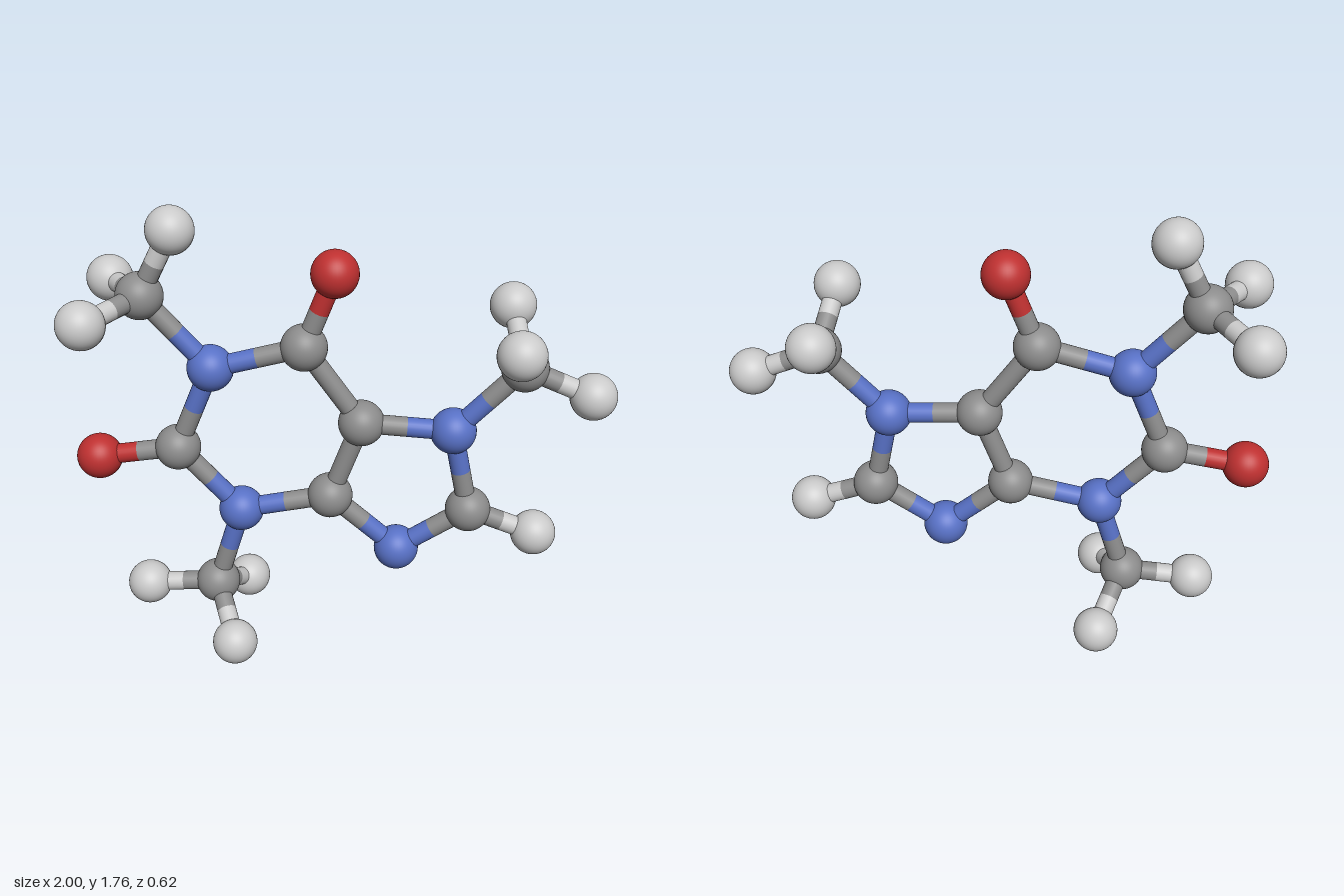
import * as THREE from 'three';

const ATOM_RADIUS = 0.086;
const BOND_RADIUS = 0.037;

function material(name, color) {
  const m = new THREE.MeshStandardMaterial({ color });
  m.name = name;
  return m;
}

export function createModel() {
  const model = new THREE.Group();
  model.name = 'ballAndStickMolecule';

  const kinds = {
    C: { label: 'carbon', mat: material('mid grey', 0x8c8c8c) },
    N: { label: 'nitrogen', mat: material('blue', 0x5871c6) },
    O: { label: 'oxygen', mat: material('red', 0xbe3030) },
    H: { label: 'hydrogen', mat: material('light grey', 0xcacaca) },
  };

  // Atoms: the key's first letter is the element, the value is x, y, z
  const atoms = {
    // six-sided ring
    N1: [-0.473, 1.16, 0], C2: [-0.612, 0.828, 0], N3: [-0.382, 0.565, 0],
    C4: [-0.04, 0.636, 0], C5: [0.077, 0.951, 0], C6: [-0.131, 1.25, 0],
    // five-sided ring
    N7: [0.416, 0.929, 0], C8: [0.485, 0.593, 0], N9: [0.216, 0.409, 0],
    // side atoms
    O2: [-0.914, 0.78, 0], O6: [-0.019, 1.532, 0], H8: [0.739, 0.497, 0],
    // three end groups
    C10: [-0.711, 1.435, 0], C11: [-0.489, 0.222, 0], C12: [0.66, 1.19, 0],
  };
  const bonds = [
    ['N1', 'C2'], ['C2', 'N3'], ['N3', 'C4'], ['C4', 'C5'], ['C5', 'C6'], ['C6', 'N1'],
    ['C5', 'N7'], ['N7', 'C8'], ['C8', 'N9'], ['N9', 'C4'],
    ['C2', 'O2'], ['C6', 'O6'], ['C8', 'H8'],
    ['N1', 'C10'], ['N3', 'C11'], ['N7', 'C12'],
  ];

  // Each end group: one hydrogen in the plane and a mirrored pair at front and back
  const endGroups = [
    ['C10', [-0.586, 1.678], [-0.868, 1.413]],
    ['C11', [-0.765, 0.203], [-0.397, 0.092]],
    ['C12', [0.912, 1.084], [0.622, 1.34]],
  ];
  for (const [carbon, flat, pair] of endGroups) {
    const hydrogens = [[...flat, 0], [...pair, 0.223], [...pair, -0.223]];
    hydrogens.forEach((position, i) => {
      const key = `H${carbon}_${i}`;
      atoms[key] = position;
      bonds.push([carbon, key]);
    });
  }

  // Balls
  const ball = new THREE.SphereGeometry(ATOM_RADIUS, 40, 28);
  for (const [key, position] of Object.entries(atoms)) {
    const { label, mat } = kinds[key[0]];
    const mesh = new THREE.Mesh(ball, mat);
    mesh.name = `${label}Atom`;
    mesh.position.set(...position);
    model.add(mesh);
  }

  // Sticks: two half cylinders, each in the colour of its own atom
  const up = new THREE.Vector3(0, 1, 0);
  const stick = new THREE.CylinderGeometry(BOND_RADIUS, BOND_RADIUS, 1, 24, 1, true);
  function addHalfBond(key, start, end) {
    const { label, mat } = kinds[key[0]];
    const direction = end.clone().sub(start);
    const mesh = new THREE.Mesh(stick, mat);
    mesh.name = `${label}HalfBond`;
    mesh.position.copy(start).lerp(end, 0.5);
    mesh.scale.y = direction.length();
    mesh.quaternion.setFromUnitVectors(up, direction.normalize());
    model.add(mesh);
  }
  for (const [a, b] of bonds) {
    const start = new THREE.Vector3(...atoms[a]);
    const end = new THREE.Vector3(...atoms[b]);
    const middle = start.clone().lerp(end, 0.5);
    addHalfBond(a, start, middle);
    addHalfBond(b, middle, end);
  }

  return model;
}
